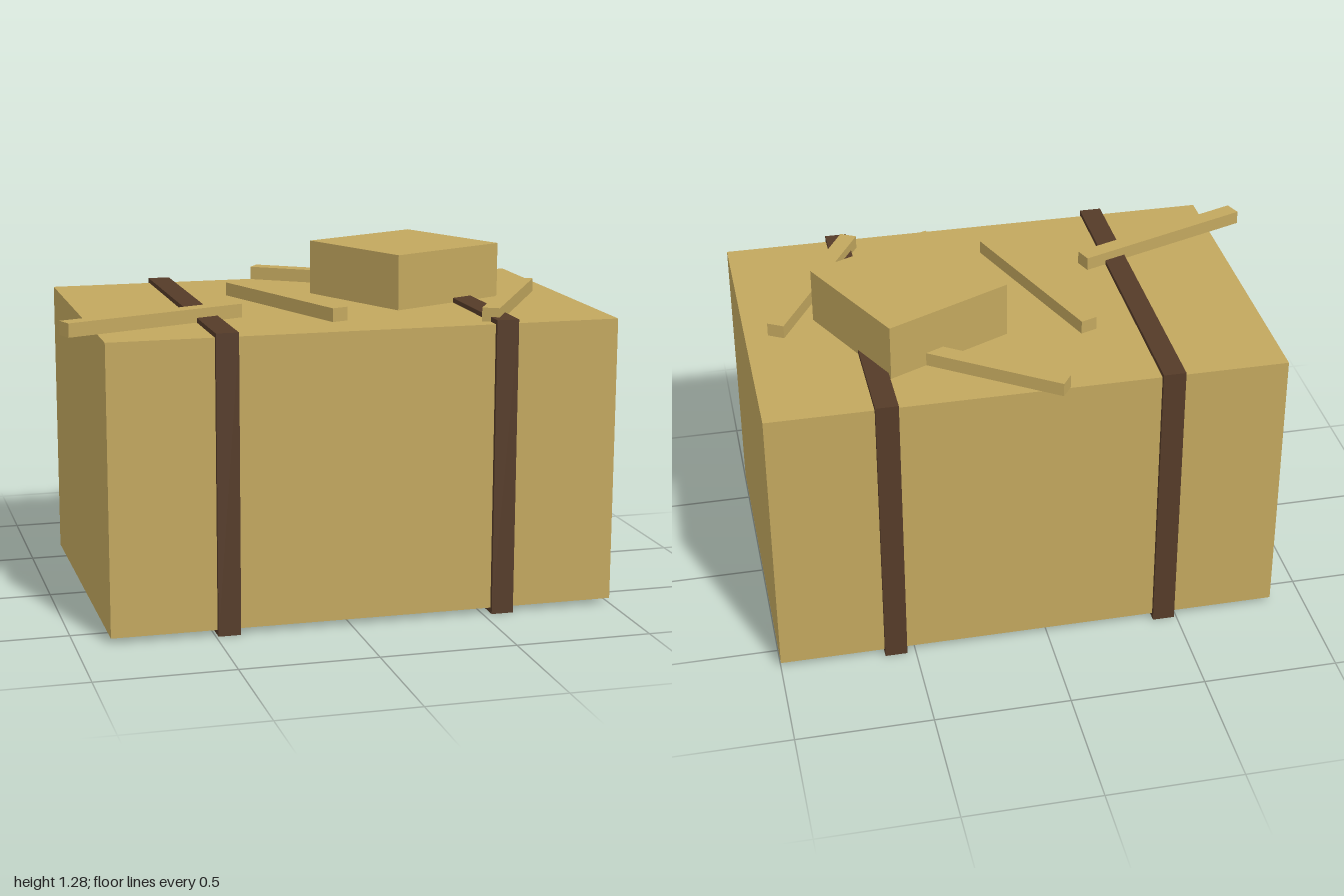
import * as THREE from 'three';

const straw = new THREE.MeshStandardMaterial({ color: 0xc2a75e, flatShading: true });
const leather = new THREE.MeshStandardMaterial({ color: 0x553b28, flatShading: true });

export function createModel() {
  const model = new THREE.Group();
  model.name = 'strawBale';

  // Box standing on height y, turned about the vertical axis
  function addBox(name, material, [w, h, d], [x, y, z], turn = 0) {
    const mesh = new THREE.Mesh(new THREE.BoxGeometry(w, h, d), material);
    mesh.name = name;
    mesh.position.set(x, y + h / 2, z);
    mesh.rotation.y = turn;
    model.add(mesh);
  }

  const top = 1.075;

  // Main bale
  addBox('bale', straw, [1.873, 1.055, 1.228], [0.063, 0.02, 0.015]);

  // Two straps wrapped all the way round the bale
  for (const x of [-0.45, 0.573]) {
    addBox('strap', leather, [0.082, 1.092, 1.26], [x, 0, 0.015]);
  }

  // Small loose block on top
  addBox('looseBlock', straw, [0.508, 0.205, 0.508], [0.403, top, -0.073], 0.437);

  // Scattered straws: x, z, turn
  const straws = [
    [-0.655, 0.353, 0.35],
    [-0.109, 0.095, -1.224],
    [0.71, 0.266, 1.048],
    [0.232, -0.417, -0.607],
  ];
  for (const [x, z, turn] of straws) {
    addBox('looseStraw', straw, [0.712, 0.05, 0.064], [x, top, z], turn);
  }

  return model;
}
